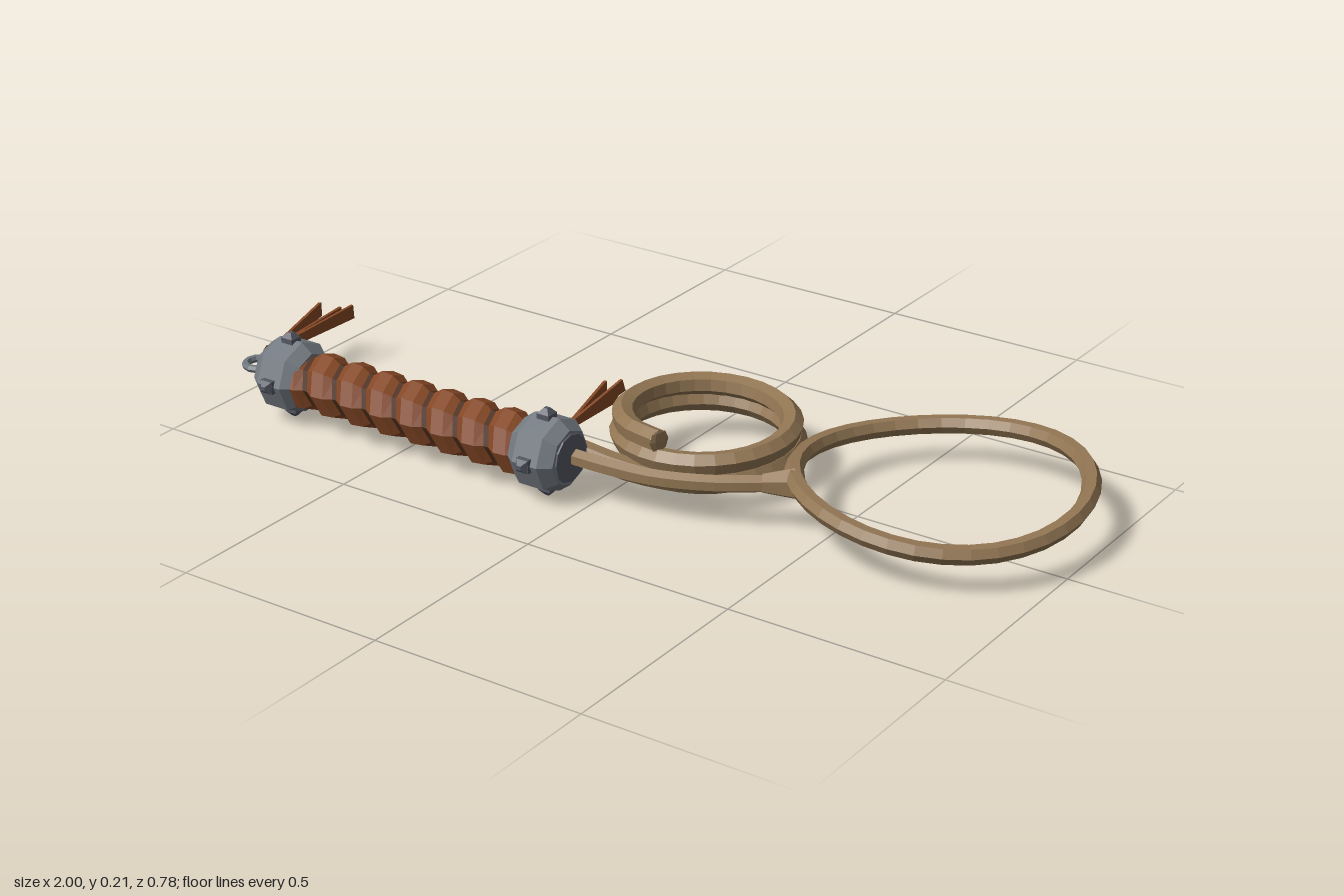
import * as THREE from 'three';

const AXIS_Y = 0.103, AXIS_Z = 0.287;
const V = (x, y, z) => new THREE.Vector3(x, y, z);

function makeMaterial(name, color, side = THREE.FrontSide) {
  const m = new THREE.MeshStandardMaterial({ color, side });
  m.name = name;
  return m;
}

// Facet a geometry so every face keeps its own normal
function faceted(geometry) {
  const g = geometry.index ? geometry.toNonIndexed() : geometry;
  g.computeVertexNormals();
  return g;
}

function part(parent, name, geometry, material, position) {
  const mesh = new THREE.Mesh(faceted(geometry), material);
  mesh.name = name;
  if (position) mesh.position.copy(position);
  parent.add(mesh);
  return mesh;
}

// Low-poly rope along a curve, with discs closing open ends
function rope(parent, name, points, radius, steps, closed, material) {
  const curve = new THREE.CatmullRomCurve3(points, closed);
  const group = new THREE.Group();
  group.name = name;
  parent.add(group);
  part(group, name + 'Strand', new THREE.TubeGeometry(curve, steps, radius, 6, closed), material);
  if (!closed) {
    for (const t of [0, 1]) {
      const p = curve.getPointAt(t);
      const cap = part(group, name + 'End', new THREE.SphereGeometry(radius, 6, 4), material, p);
      cap.scale.z = 0.15;
      cap.lookAt(p.clone().add(curve.getTangentAt(t)));
    }
  }
}

// Helical leather band with a raised middle
function wrapGeometry(x0, x1, turns) {
  const steps = turns * 8;
  const pitch = (x1 - x0) / turns;
  const g = new THREE.PlaneGeometry(1, 1, steps, 3);
  const across = [-0.49, -0.16, 0.2, 0.47], radii = [0.055, 0.073, 0.07, 0.055];
  const p = g.attributes.position;
  for (let i = 0; i < p.count; i++) {
    const step = i % (steps + 1), row = Math.floor(i / (steps + 1));
    const a = step * Math.PI / 4;
    const x = THREE.MathUtils.clamp(x0 + pitch * (step / 8 + across[row]), x0, x1);
    p.setXYZ(i, x, radii[row] * Math.cos(a), radii[row] * Math.sin(a));
  }
  return g;
}

// Bead with three flat leather strips fanning out
function tassel(parent, name, base, tips, width, leather, dark) {
  const group = new THREE.Group();
  group.name = name;
  parent.add(group);
  part(group, 'tasselKnot', new THREE.SphereGeometry(0.019, 6, 5), dark, base);
  for (const tip of tips) {
    const g = new THREE.BoxGeometry(0.007, width, base.distanceTo(tip));
    const p = g.attributes.position;
    for (let i = 0; i < p.count; i++) if (p.getZ(i) < 0) p.setY(i, p.getY(i) * 0.5);
    const strip = part(group, 'tasselStrip', g, leather, base.clone().lerp(tip, 0.5));
    strip.lookAt(tip);
  }
}

export function createModel() {
  const root = new THREE.Group();
  root.name = 'coiledWhip';
  const ropeMat = makeMaterial('rope tan', 0x927653);
  const leather = makeMaterial('leather brown', 0x864826, THREE.DoubleSide);
  const darkLeather = makeMaterial('dark leather', 0x4a2917);
  const metal = makeMaterial('steel grey', 0x727980);
  const darkMetal = makeMaterial('dark steel', 0x555863);

  // Handle, built along the x axis
  const handle = new THREE.Group();
  handle.name = 'handle';
  handle.position.set(0, AXIS_Y, AXIS_Z);
  root.add(handle);
  const core = part(handle, 'gripCore', new THREE.CylinderGeometry(0.058, 0.058, 0.66, 8), darkLeather, V(-0.46, 0, 0));
  core.rotation.z = Math.PI / 2;
  part(handle, 'gripWrap', wrapGeometry(-0.8, -0.12, 8), leather);

  // Bevelled collars with four studs each
  const profile = [[0, -0.06], [0.064, -0.06], [0.085, -0.032], [0.085, 0.032], [0.064, 0.06], [0, 0.06]]
    .map(([r, h]) => new THREE.Vector2(r, h));
  for (const [x, end] of [[-0.822, -1], [-0.105, 1]]) {
    const collar = new THREE.Group();
    collar.name = end < 0 ? 'pommelCollar' : 'throatCollar';
    collar.position.x = x;
    handle.add(collar);
    part(collar, 'collarBody', new THREE.LatheGeometry(profile, 8), metal).rotation.z = -Math.PI / 2;
    part(collar, 'collarEndPlate', new THREE.CylinderGeometry(0.055, 0.055, 0.006, 12), darkMetal, V(end * 0.061, 0, 0))
      .rotation.z = Math.PI / 2;
    for (let i = 0; i < 4; i++) {
      const arm = new THREE.Group();
      arm.name = 'stud';
      arm.rotation.x = i * Math.PI / 2;
      collar.add(arm);
      part(arm, 'studBase', new THREE.CylinderGeometry(0.022, 0.022, 0.012, 4), darkMetal, V(0, 0.085, 0)).rotation.y = Math.PI / 4;
      part(arm, 'studTip', new THREE.CylinderGeometry(0.007, 0.021, 0.012, 4), darkMetal, V(0, 0.097, 0)).rotation.y = Math.PI / 4;
    }
  }

  // Hanging ring on the pommel
  part(handle, 'pommelRing', new THREE.TorusGeometry(0.032, 0.009, 6, 12), metal, V(-0.922, 0, 0)).rotation.x = Math.PI / 2;

  // Tassels behind the ring and the throat collar
  tassel(root, 'pommelTassel', V(-0.935, 0.108, 0.235),
    [V(-0.993, 0.118, -0.01), V(-0.957, 0.105, -0.04), V(-0.91, 0.125, -0.03)], 0.034, leather, darkLeather);
  tassel(root, 'throatTassel', V(-0.12, 0.12, 0.188),
    [V(-0.157, 0.135, 0.0), V(-0.123, 0.125, 0.005), V(-0.088, 0.168, 0.03)], 0.03, leather, darkLeather);

  // Stacked coil rising from the throat
  const coil = [V(-0.07, 0.085, 0.215), V(0.03, 0.07, 0.205)];
  const turns = 2, perTurn = 12;
  for (let i = 0; i <= turns * perTurn; i++) {
    const a = i / perTurn * Math.PI * 2;
    const r = 0.188 + 0.005 * Math.sin(a * 0.5);
    coil.push(V(0.117 + r * Math.sin(a), 0.064 + 0.084 * i / (turns * perTurn), r * Math.cos(a)));
  }
  rope(root, 'coil', coil, 0.026, 64, false, ropeMat);

  // Leading strand that meets the open loop
  rope(root, 'leadStrand', [V(-0.07, 0.1, 0.272), V(0.04, 0.098, 0.268), V(0.15, 0.096, 0.252),
    V(0.27, 0.1, 0.212), V(0.4, 0.107, 0.14)], 0.02, 14, false, ropeMat);
  const knot = part(root, 'loopKnot', new THREE.CylinderGeometry(0.036, 0.022, 0.07, 6), ropeMat, V(0.393, 0.107, 0.145));
  knot.quaternion.setFromUnitVectors(V(0, 1, 0), V(0.86, 0.03, -0.5).normalize());

  // Wide loop with a gentle twist in height
  const loop = [];
  for (let i = 0; i < 16; i++) {
    const a = i / 16 * Math.PI * 2;
    loop.push(V(0.667 + 0.311 * Math.cos(a), 0.107 - 0.016 * Math.sin(2 * a), -0.061 + 0.311 * Math.sin(a)));
  }
  rope(root, 'openLoop', loop, 0.021, 36, true, ropeMat);

  return root;
}
